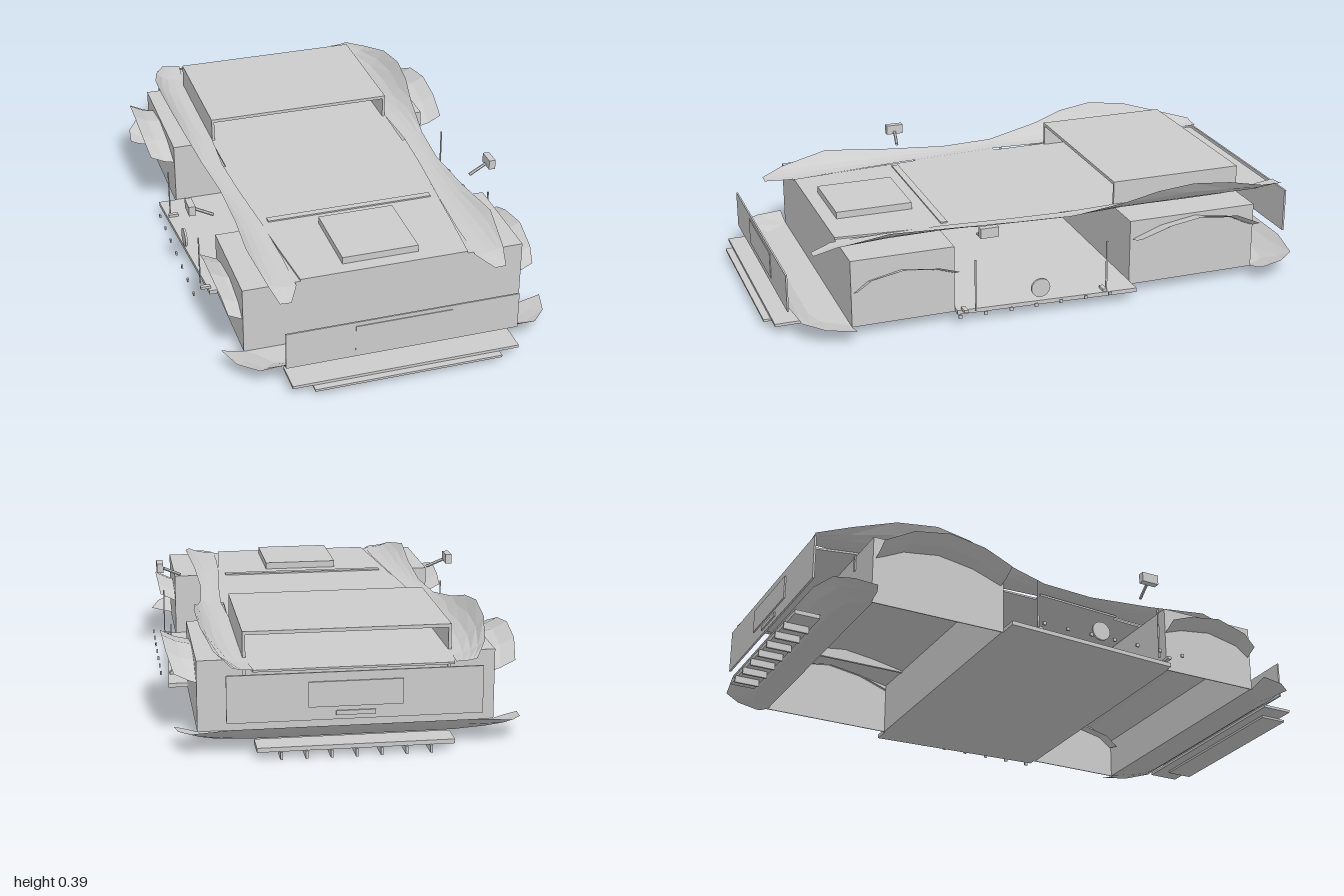
import * as THREE from 'three';

const mat = new THREE.MeshStandardMaterial({ color: 0xcccccc, flatShading: true, side: THREE.DoubleSide });

// Surface through rows of [x, y, z] points
function loft(rows) {
  const n = rows[0].length, idx = [];
  for (let i = 0; i < rows.length - 1; i++) {
    for (let j = 0; j < n - 1; j++) {
      const a = i * n + j, b = a + n;
      idx.push(a, b, a + 1, b, b + 1, a + 1);
    }
  }
  const g = new THREE.BufferGeometry();
  g.setAttribute('position', new THREE.Float32BufferAttribute(rows.flat(2), 3));
  g.setIndex(idx);
  g.computeVertexNormals();
  return g;
}

// Horizontal slab from a half outline of [x, z], mirrored across x = 0
function slab(half, y, t) {
  const pts = [...half, ...half.map(([x, z]) => [-x, z]).reverse()];
  const s = new THREE.Shape(pts.map(([x, z]) => new THREE.Vector2(x, -z)));
  return new THREE.ExtrudeGeometry(s, { depth: t, bevelEnabled: false }).rotateX(-Math.PI / 2).translate(0, y, 0);
}

export function createModel() {
  const car = new THREE.Group();
  car.name = 'carBody';
  const add = (name, geo, parent = car) => {
    const m = new THREE.Mesh(geo, mat);
    m.name = name;
    parent.add(m);
    return m;
  };
  // Box given by its limits
  const box = (name, x0, x1, y0, y1, z0, z1, parent) => add(name,
    new THREE.BoxGeometry(x1 - x0, y1 - y0, z1 - z0).translate((x0 + x1) / 2, (y0 + y1) / 2, (z0 + z1) / 2), parent);

  // Floor and flat upper deck
  add('floor', slab([[0.53, 0.36], [0.57, -0.3]], 0.035, 0.015));
  add('deck', slab([[0.3, 0.73], [0.32, 0.5], [0.34, 0.24], [0.36, 0.24], [0.385, -0.09],
    [0.35, -0.09], [0.36, -0.8], [0.33, -0.94]], 0.28, 0.007));

  // Wheel wells: block with an arch cut through, open at the bottom, capped at the sides
  function wheelWell(name, z0, z1, top, peak, foot) {
    const w = z1 - z0, s = new THREE.Shape();
    const inner = [[0.005, 0.035], [0.005, foot], [w * 0.27, peak - 0.015], [w * 0.5, peak], [w * 0.73, peak - 0.015],
      [w - 0.005, foot], [w - 0.005, 0.035]];
    s.moveTo(0, 0.035);
    inner.forEach(p => s.lineTo(...p));
    s.lineTo(w, 0.035).lineTo(w, top).lineTo(0, top);
    const g = new THREE.ExtrudeGeometry(s, { depth: 1, bevelEnabled: false });
    add(name, g.rotateY(-Math.PI / 2).translate(0.5, 0, z0));
    for (const side of [-1, 1]) box(name + 'Side', side * 0.5 - 0.002, side * 0.5 + 0.002, 0.035, top, z0, z1);
  }
  wheelWell('frontWheelWell', 0.36, 0.73, 0.28, 0.25, 0.19);
  wheelWell('rearWheelWell', -0.79, -0.3, 0.28, 0.27, 0.23);

  // Arch flares: strips that rise outward over each wheel, [z, outer x, outer y]
  const flares = {
    frontFlare: [0.44, [[0.72, 0.55, 0.185], [0.67, 0.56, 0.225], [0.55, 0.57, 0.252], [0.43, 0.565, 0.235], [0.36, 0.56, 0.21]]],
    rearFlare: [0.48, [[-0.31, 0.59, 0.245], [-0.42, 0.6, 0.285], [-0.55, 0.602, 0.305], [-0.68, 0.595, 0.285], [-0.78, 0.575, 0.235]]],
  };
  // Fender skins, [z, inner x, outer x, inner y, outer y]
  const fender = [
    [0.83, 0.36, 0.4, 0.27, 0.272], [0.75, 0.32, 0.42, 0.28, 0.3], [0.57, 0.32, 0.445, 0.285, 0.335],
    [0.35, 0.33, 0.427, 0.29, 0.318], [0.1, 0.35, 0.42, 0.29, 0.302], [-0.1, 0.36, 0.435, 0.29, 0.302],
    [-0.3, 0.35, 0.46, 0.29, 0.338], [-0.42, 0.35, 0.48, 0.288, 0.372], [-0.55, 0.35, 0.49, 0.287, 0.388],
    [-0.7, 0.35, 0.482, 0.287, 0.37], [-0.85, 0.34, 0.45, 0.287, 0.328], [-0.96, 0.33, 0.4, 0.295, 0.303]];

  for (const s of [-1, 1]) {
    for (const [name, [xi, pts]] of Object.entries(flares)) {
      add(name, loft(pts.map(([z, x, y]) => [
        [s * xi, y - 0.04, z], [s * (x - 0.05), y - 0.025, z], [s * x, y, z]])));
    }
    add('fenderSkin', loft(fender.map(([z, xi, xo, yi, yo]) => [0, 0.25, 0.5, 0.75, 1].map(t =>
      [s * (xi + (xo - xi) * Math.pow(t, 0.8)), yi + (yo - yi) * t * t, z]))));

    // Door seams, filler cap and sill rivets
    for (const z of [0.3, -0.19]) box('doorSeam', s * 0.55 - 0.002, s * 0.55 + 0.002, 0.05, 0.24, z - 0.003, z + 0.003);
    box('sillTab', s * 0.54 - 0.018, s * 0.54 + 0.018, 0.05, 0.06, 0.33, 0.345);
    box('sillTab', s * 0.54 - 0.018, s * 0.54 + 0.018, 0.05, 0.06, -0.19, -0.175);
    add('fillerCap', new THREE.CylinderGeometry(0.035, 0.035, 0.008, 16).rotateZ(Math.PI / 2).translate(s * 0.55, 0.1, 0.06));
    for (let i = 0; i < 7; i++) {
      const z = 0.37 - i * 0.093;
      box('sillRivet', s * 0.59 - 0.003, s * 0.59 + 0.003, 0.05, 0.062, z - 0.006, z + 0.006);
    }

    // Mirrors
    const mirror = new THREE.Group();
    mirror.name = 'mirror';
    car.add(mirror);
    box('mirrorHousing', s * 0.565 - 0.012, s * 0.565 + 0.012, 0.328, 0.364, 0.225, 0.29, mirror);
    const a = new THREE.Vector3(s * 0.485, 0.308, 0.27), b = new THREE.Vector3(s * 0.55, 0.338, 0.26);
    add('mirrorStalk', new THREE.TubeGeometry(new THREE.LineCurve3(a, b), 1, 0.006, 6), mirror);
  }

  // Curved lower valances at both ends
  function valance(name, half, zIn) {
    const d = Math.sign(zIn);
    const edge = [...half, ...half.map(([x, z, y]) => [-x, z, y]).reverse()];
    add(name, loft([
      edge.map(([x]) => [x * 0.86, 0.035, zIn]),
      edge.map(([x, z]) => [x * 0.86, 0.035, Math.max(Math.abs(z) - 0.08, Math.abs(zIn)) * d]),
      edge.map(([x, z, y]) => [x * 0.95, 0.02 + y * 0.5, Math.max(Math.abs(z) - 0.03, Math.abs(zIn)) * d]),
      edge.map(([x, z, y]) => [x, y, z])]));
  }
  valance('frontValance', [[0.58, 0.73, 0.055], [0.55, 0.83, 0.06], [0.49, 0.9, 0.07], [0.4, 0.925, 0.095]], 0.73);
  valance('rearValance', [[0.58, -0.8, 0.06], [0.57, -0.88, 0.07], [0.53, -0.94, 0.08], [0.4, -0.96, 0.095]], -0.79);

  // Nose: panel, inset and two-step splitter
  box('frontPanel', -0.41, 0.41, 0.085, 0.22, 0.926, 0.932);
  box('frontInset', -0.17, 0.17, 0.11, 0.205, 0.932, 0.935);
  box('splitterUpper', -0.4, 0.4, 0.03, 0.04, 0.86, 0.975);
  box('splitterLower', -0.33, 0.33, 0.022, 0.03, 0.9, 1);

  // Tail: panel, plate, slot and finned diffuser
  box('rearPanel', -0.42, 0.42, 0.12, 0.28, -0.97, -0.963);
  box('rearPlate', -0.155, 0.155, 0.165, 0.25, -0.975, -0.97);
  box('rearSlot', -0.065, 0.065, 0.135, 0.15, -0.975, -0.97);
  box('diffuser', -0.325, 0.325, 0.025, 0.04, -0.99, -0.9);
  for (let i = -3; i <= 3; i++) box('diffuserFin', i * 0.082 - 0.004, i * 0.082 + 0.004, 0, 0.026, -1, -0.91);

  // Bonnet vent and cowl strip
  box('bonnetVent', -0.137, 0.137, 0.285, 0.312, 0.4, 0.68);
  box('cowlStrip', -0.305, 0.305, 0.287, 0.292, 0.32, 0.345);

  // Engine cover: top and two sides, open front and back
  box('engineCoverTop', -0.35, 0.35, 0.363, 0.375, -0.795, -0.3);
  for (const s of [-1, 1]) box('engineCoverSide', s * 0.345 - 0.005, s * 0.345 + 0.005, 0.225, 0.363, -0.795, -0.3);

  return car;
}
